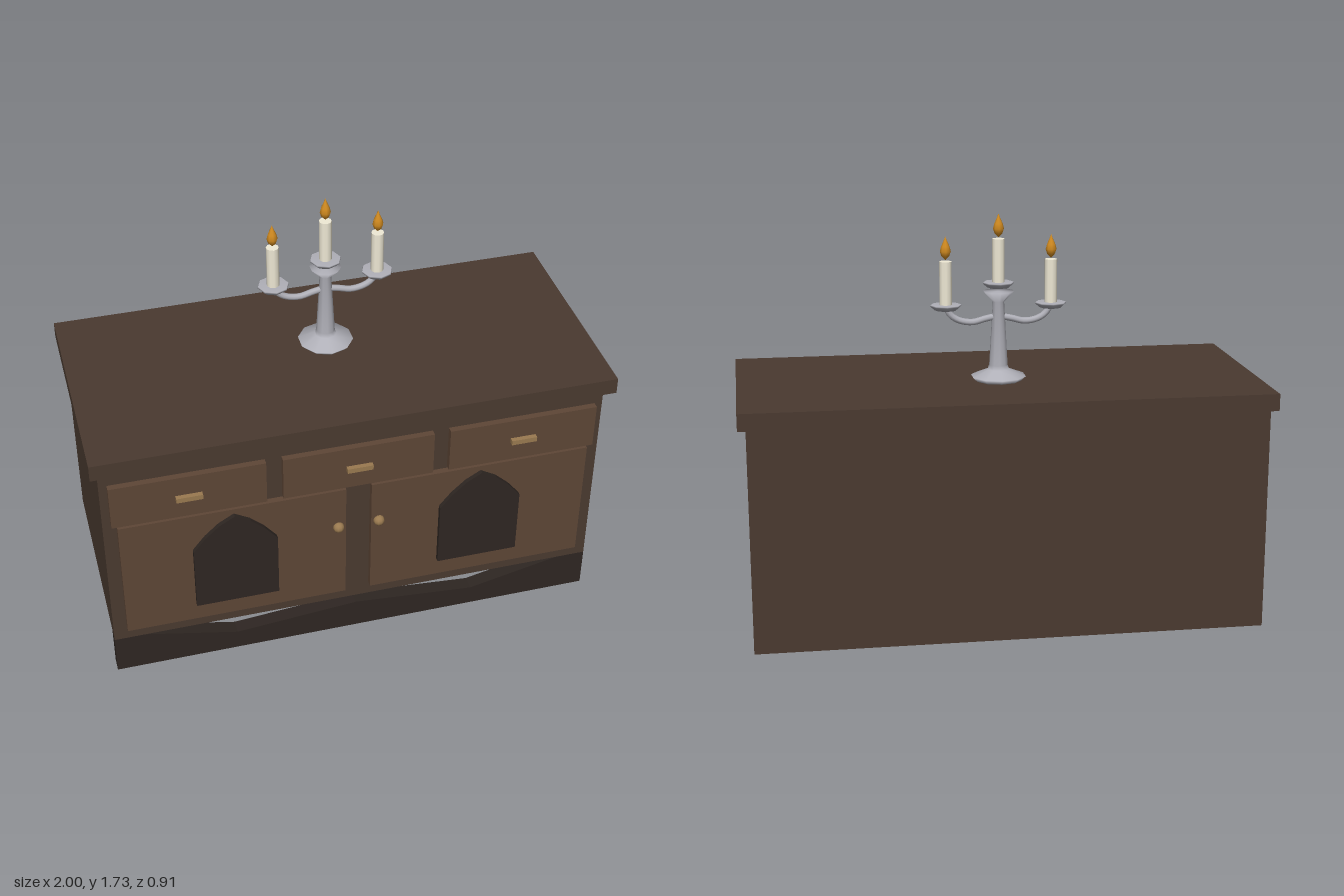
import * as THREE from 'three';

const mat = (color) => new THREE.MeshStandardMaterial({ color, side: THREE.DoubleSide });

export function createModel() {
  const root = new THREE.Group();
  const wood = mat(0x4a3a30), panelWood = mat(0x5e4636), darkWood = mat(0x2e2622);
  const brass = mat(0x9a7a50), silver = mat(0xb0b0b8), wax = mat(0xf0ead6), fire = mat(0xd08a20);

  const add = (parent, name, geometry, material, x = 0, y = 0, z = 0) => {
    const mesh = new THREE.Mesh(geometry, material);
    mesh.name = name;
    mesh.position.set(x, y, z);
    parent.add(mesh);
    return mesh;
  };
  // box given by its extents
  const box = (name, material, x0, x1, y0, y1, z0, z1) => add(root, name,
    new THREE.BoxGeometry(x1 - x0, y1 - y0, z1 - z0), material,
    (x0 + x1) / 2, (y0 + y1) / 2, (z0 + z1) / 2);
  const slab = (points, depth) => new THREE.ExtrudeGeometry(
    new THREE.Shape(points.map(([x, y]) => new THREE.Vector2(x, y))), { depth, bevelEnabled: false });
  const lathe = (points, sides) => new THREE.LatheGeometry(
    points.map(([r, y]) => new THREE.Vector2(r, y)), sides);

  // cabinet
  box('tabletop', wood, -1, 1, 1.02, 1.085, -0.455, 0.455);
  box('cabinetBody', wood, -0.97, 0.97, 0.165, 1.02, -0.445, 0.405);

  // shaped apron along the front
  const apron = [[-0.97, 0], [0.97, 0], [0.97, 0.165], [0.85, 0.165], [0.485, 0.083],
    [0, 0.125], [-0.485, 0.083], [-0.85, 0.165], [-0.97, 0.165]];
  add(root, 'apron', slab(apron, 0.057), darkWood, 0, 0, 0.348);

  // three drawers with bar handles
  for (const x of [-0.647, 0, 0.647]) {
    box('drawer', panelWood, x - 0.292, x + 0.292, 0.76, 0.945, 0.405, 0.43);
    box('drawerHandle', brass, x - 0.05, x + 0.05, 0.843, 0.863, 0.43, 0.449);
  }

  // two doors with pointed-arch panels and knobs
  const arch = [[-0.162, 0.308], [0.162, 0.308], [0.162, 0.585], [0.114, 0.645], [0.06, 0.695],
    [0, 0.73], [-0.06, 0.695], [-0.114, 0.645], [-0.162, 0.585]];
  for (const s of [-1, 1]) {
    box('door', panelWood, s * 0.484 - 0.434, s * 0.484 + 0.434, 0.225, 0.75, 0.405, 0.43);
    add(root, 'archPanel', slab(arch, 0.018), darkWood, s * 0.484, 0, 0.43);
    add(root, 'doorKnob', new THREE.SphereGeometry(0.022, 10, 8), brass, s * 0.08, 0.57, 0.433);
  }

  // candelabrum
  const stand = new THREE.Group();
  stand.name = 'candelabrum';
  stand.position.set(0, 1.085, -0.063);
  root.add(stand);
  add(stand, 'stem', lathe([[0, 0], [0.09, 0], [0.107, 0.017], [0.042, 0.043], [0.036, 0.06],
    [0.022, 0.305], [0.06, 0.345], [0, 0.345]], 10), silver);

  // a candle with its dish and flame, standing at height y
  const candle = (x, y) => {
    const holder = new THREE.Group();
    holder.name = 'candleHolder';
    holder.position.set(x, y, 0);
    stand.add(holder);
    add(holder, 'dripDish', lathe([[0, -0.02], [0.043, -0.02], [0.06, -0.005], [0.058, 0], [0, 0]], 8), silver);
    add(holder, 'candle', new THREE.CylinderGeometry(0.024, 0.024, 0.165, 10), wax, 0, 0.0825, 0);
    add(holder, 'flame', lathe([[0, 0.17], [0.015, 0.185], [0.021, 0.203], [0.016, 0.222],
      [0.007, 0.242], [0, 0.26]], 8), fire);
  };
  candle(0, 0.38);
  for (const s of [-1, 1]) {
    candle(s * 0.202, 0.298);
    const path = new THREE.CatmullRomCurve3([[0, 0.25], [0.05, 0.24], [0.1, 0.228], [0.15, 0.236],
      [0.182, 0.256], [0.2, 0.285]].map(([x, y]) => new THREE.Vector3(s * x, y, 0)));
    add(stand, 'arm', new THREE.TubeGeometry(path, 16, 0.0125, 8), silver);
  }
  return root;
}
